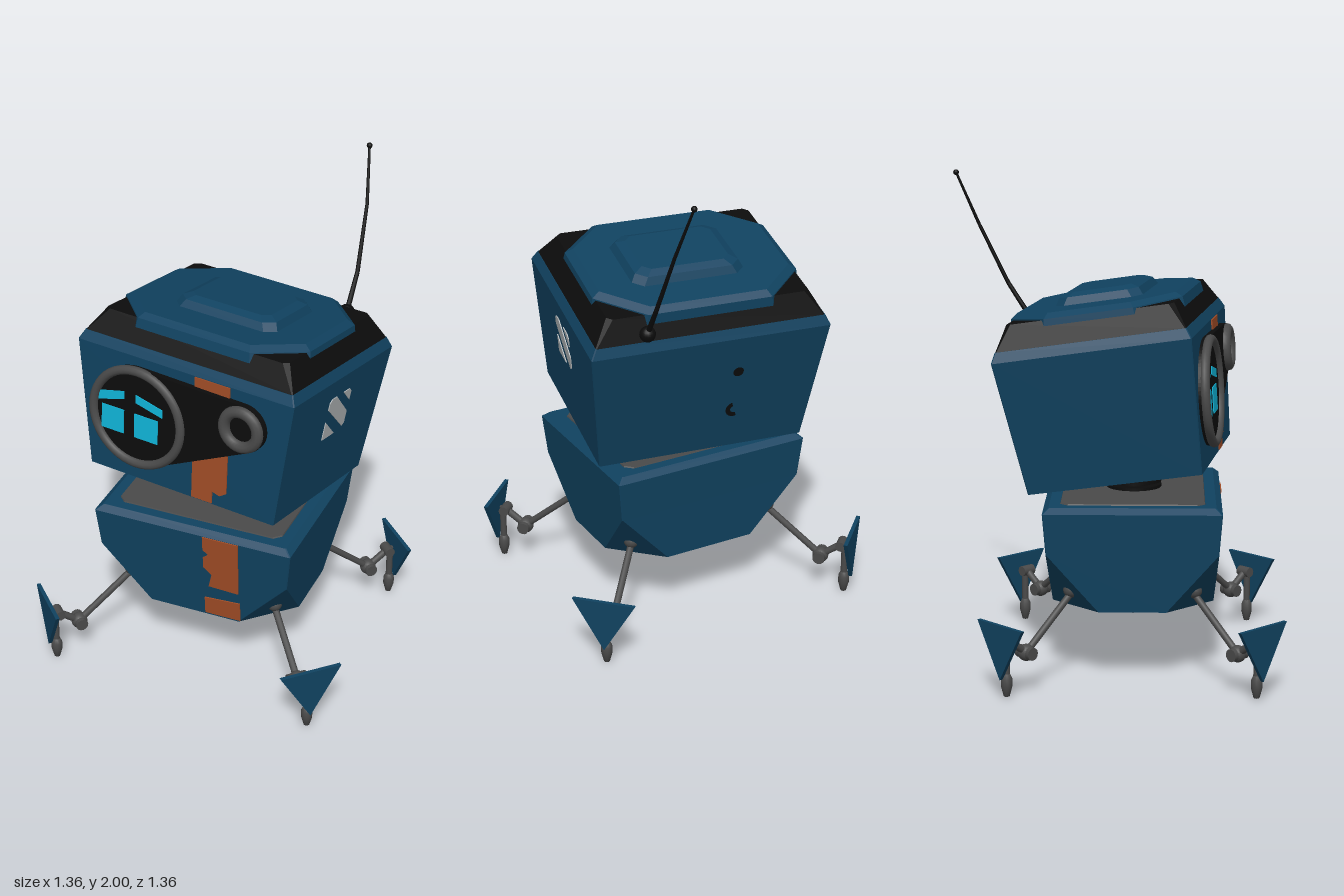
import * as THREE from 'three';

const mat = (name, color, side = THREE.FrontSide) => {
  const m = new THREE.MeshStandardMaterial({ color, side });
  m.name = name;
  return m;
};

export function createModel() {
  const blue = mat('blue paint', 0x104260);
  const black = mat('black', 0x0c0c0c);
  const grey = mat('grey metal', 0x4a4a4a);
  const orange = mat('orange paint', 0xa04c26);
  const cyan = mat('cyan light', 0x10b4d8);
  const white = mat('white paint', 0xb0b4b6);

  const root = new THREE.Group();
  root.name = 'robot';

  const group = (parent, name, x = 0, y = 0, z = 0) => {
    const g = new THREE.Group();
    g.name = name;
    g.position.set(x, y, z);
    parent.add(g);
    return g;
  };
  const add = (parent, name, geo, material, x = 0, y = 0, z = 0) => {
    const m = new THREE.Mesh(geo, material);
    m.name = name;
    m.position.set(x, y, z);
    parent.add(m);
    return m;
  };

  // Flat-faced solid through rectangles with cut corners: [y, halfWidth, halfDepth, cut]
  const loft = (sections) => {
    const rings = sections.map(([y, w, d, c]) =>
      [[w, c - d], [w, d - c], [w - c, d], [c - w, d], [-w, d - c], [-w, c - d], [c - w, -d], [w - c, -d]]
        .map(([x, z]) => new THREE.Vector3(x, y, z)));
    const tris = [];
    const last = rings.length - 1;
    for (let i = 0; i < 8; i++) {
      const j = (i + 1) % 8;
      for (let k = 0; k < last; k++) {
        const [a, b, c, d] = [rings[k][i], rings[k][j], rings[k + 1][j], rings[k + 1][i]];
        tris.push(a, d, c, a, c, b);
      }
      tris.push(new THREE.Vector3(0, sections[0][0], 0), rings[0][i], rings[0][j]);
      tris.push(new THREE.Vector3(0, sections[last][0], 0), rings[last][j], rings[last][i]);
    }
    const g = new THREE.BufferGeometry().setFromPoints(tris);
    g.computeVertexNormals();
    return g;
  };
  // Straight rod between two points
  const rod = (parent, name, a, b, r, material, r2 = r) => {
    const p = new THREE.Vector3(...a), q = new THREE.Vector3(...b);
    const dir = q.clone().sub(p);
    const m = add(parent, name, new THREE.CylinderGeometry(r2, r, dir.length(), 10), material);
    m.position.copy(p).add(q).multiplyScalar(0.5);
    m.quaternion.setFromUnitVectors(new THREE.Vector3(0, 1, 0), dir.normalize());
    return m;
  };
  const plate = (points, depth) => new THREE.ExtrudeGeometry(
    new THREE.Shape(points.map(([x, y]) => new THREE.Vector2(x, y))), { depth, bevelEnabled: false });

  // Body
  const body = group(root, 'body', 0, 0, 0.075);
  add(body, 'bodyShell', loft([
    [0.295, 0.385, 0.325, 0.19], [0.53, 0.41, 0.342, 0.004],
    [0.70, 0.428, 0.355, 0.004], [0.722, 0.40, 0.33, 0.004]]), blue);
  add(body, 'bodyTopPanel', loft([[0.715, 0.36, 0.29, 0.03], [0.727, 0.355, 0.285, 0.03]]), grey);
  const base = add(body, 'bodyBaseDisc', new THREE.CylinderGeometry(1, 0.96, 0.03, 40), grey, 0, 0.285, 0);
  base.scale.set(0.31, 1, 0.275);
  const bodyFront = group(body, 'bodyStripe', 0, 0.295, 0.325);
  bodyFront.rotation.x = 0.074;
  add(bodyFront, 'upperStripe', plate([
    [0.05, 0.405], [0.05, 0.34], [0.075, 0.32], [0.05, 0.30], [0.05, 0.25], [0.085, 0.22],
    [0.07, 0.155], [0.20, 0.15], [0.205, 0.405]], 0.005), orange);
  add(bodyFront, 'lowerStripe', plate([[0.05, 0.01], [0.205, 0.01], [0.205, 0.10], [0.05, 0.09]], 0.005), orange);

  // Neck rings
  const neck = group(root, 'neck', 0, 0, 0.075);
  add(neck, 'neckCore', new THREE.CylinderGeometry(0.075, 0.075, 0.12, 24), black, 0, 0.765, 0);
  for (let i = 0; i < 4; i++)
    add(neck, 'neckRing', new THREE.CylinderGeometry(0.112, 0.112, 0.012, 28), black, 0, 0.733 + i * 0.023, 0);

  // Head, turned and tilted back
  const head = group(root, 'head', 0, 0.82, 0.07);
  head.rotation.set(-0.153, -0.153, 0, 'YXZ');
  add(head, 'headShell', loft([
    [0, 0.43, 0.35, 0.004], [0.54, 0.495, 0.397, 0.004], [0.58, 0.475, 0.38, 0.004]]), blue);
  add(head, 'headBand', loft([[0.58, 0.473, 0.378, 0.004], [0.675, 0.415, 0.335, 0.02]]), black);
  add(head, 'headTopPlate', loft([
    [0.64, 0.43, 0.352, 0.17], [0.68, 0.425, 0.347, 0.17], [0.70, 0.395, 0.32, 0.155]]), blue);
  add(head, 'topHatch', loft([
    [0.695, 0.235, 0.18, 0.04], [0.73, 0.215, 0.162, 0.04], [0.745, 0.18, 0.13, 0.03]]), blue, 0.02, 0, 0);
  add(head, 'headUnderPanel', loft([[-0.005, 0.40, 0.32, 0.02], [0.002, 0.40, 0.32, 0.02]]), grey);
  add(head, 'neckSocket', new THREE.CylinderGeometry(0.18, 0.18, 0.012, 36), black, 0, -0.006, 0);

  // Face on the sloping front
  const face = group(head, 'face', 0, 0, 0.35);
  face.rotation.x = 0.087;
  add(face, 'headStripe', plate([
    [0.055, 0.005], [0.15, 0.005], [0.15, 0.06], [0.185, 0.05], [0.215, 0.07], [0.215, 0.54], [0.055, 0.54]], 0.005), orange);
  const [bx, by, br, sx, sy, sr] = [-0.195, 0.29, 0.215, 0.285, 0.395, 0.1];
  const phi = Math.atan2(sy - by, sx - bx);
  const alpha = Math.acos((br - sr) / Math.hypot(sx - bx, sy - by));
  const mask = new THREE.Shape();
  mask.absarc(bx, by, br, phi + alpha, phi - alpha + Math.PI * 2, false);
  mask.absarc(sx, sy, sr, phi - alpha, phi + alpha, false);
  add(face, 'mask', new THREE.ExtrudeGeometry(mask, { depth: 0.025, bevelEnabled: false, curveSegments: 24 }), black);
  add(face, 'bigLensRing', new THREE.TorusGeometry(0.205, 0.019, 10, 48), grey, bx, by, 0.026);
  add(face, 'smallLensRing', new THREE.TorusGeometry(0.075, 0.024, 10, 32), grey, sx, sy, 0.03);
  const lights = [
    [[-0.36, 0.2], [-0.255, 0.2], [-0.255, 0.305], [-0.36, 0.305]],
    [[-0.205, 0.2], [-0.095, 0.2], [-0.095, 0.305], [-0.205, 0.305]],
    [[-0.375, 0.32], [-0.255, 0.355], [-0.255, 0.39], [-0.375, 0.36]],
    [[-0.2, 0.355], [-0.075, 0.325], [-0.075, 0.36], [-0.2, 0.39]]];
  lights.forEach((p, i) => add(face, i < 2 ? 'eye' : 'brow', plate(p, 0.004), cyan, 0, 0, 0.025));

  // Striped patch on the left side
  const side = group(head, 'sidePatch', 0.43, 0, 0);
  side.rotation.set(0, Math.PI / 2, -0.12, 'ZYX');
  const patches = [
    [[-0.085, 0.075], [-0.07, 0.09], [-0.035, 0.09], [0.085, -0.015], [0.085, -0.07], [0.07, -0.08], [-0.085, 0.045]],
    [[-0.085, -0.01], [-0.085, -0.09], [0.01, -0.09]],
    [[0.02, 0.09], [0.085, 0.035], [0.085, 0.075], [0.07, 0.09]]];
  // The middle band needs corners in counter-clockwise order
  patches.forEach((p) => add(side, 'patchStripe', plate(p, 0.004), white, 0, 0.375, 0));

  // Small holes on the back
  const back = group(head, 'backMarks', 0, 0, -0.35);
  back.rotation.set(-0.087, Math.PI, 0);
  add(back, 'backHole', new THREE.CircleGeometry(0.022, 20), black, 0.12, 0.38, 0.004);
  add(back, 'backSlot', new THREE.RingGeometry(0.016, 0.036, 16, 1, Math.PI * 0.6, Math.PI), black, 0.12, 0.19, 0.004);

  // Antenna
  const antenna = group(root, 'antenna');
  const path = [[0.345, 1.38, -0.37], [0.353, 1.52, -0.46], [0.342, 1.77, -0.58], [0.312, 1.985, -0.67]];
  for (let i = 0; i < 3; i++)
    rod(antenna, 'antennaRod', path[i], path[i + 1], 0.011 - i * 0.002, black, 0.009 - i * 0.002);
  add(antenna, 'antennaBase', new THREE.SphereGeometry(0.032, 16, 12), black, ...path[0]);
  add(antenna, 'antennaTip', new THREE.SphereGeometry(0.012, 12, 8), black, ...path[3]);

  // Four legs; each is built along its own outward +z
  for (const x of [-1, 1]) for (const z of [-1, 1]) {
    const leg = group(root, z > 0 ? 'frontLeg' : 'backLeg', x * 0.31, 0, 0.075 + z * 0.235);
    leg.rotation.y = Math.atan2(x, z);
    const knee = [0, 0.16, 0.255], ankle = [0, 0.225, 0.345];
    add(leg, 'hip', new THREE.SphereGeometry(0.032, 14, 10), grey, 0, 0.37, 0.015);
    rod(leg, 'thigh', [0, 0.385, -0.02], knee, 0.014, grey);
    add(leg, 'knee', new THREE.SphereGeometry(0.034, 16, 12), grey, ...knee);
    const pin = add(leg, 'kneePin', new THREE.CylinderGeometry(0.026, 0.026, 0.08, 14), grey, ...knee);
    pin.rotation.z = Math.PI / 2;
    rod(leg, 'shin', knee, ankle, 0.015, grey);
    const anklePin = add(leg, 'anklePin', new THREE.CylinderGeometry(0.022, 0.022, 0.06, 14), grey, ...ankle);
    anklePin.rotation.z = Math.PI / 2;
    rod(leg, 'footRod', [0, 0.07, 0.358], [0, 0.235, 0.358], 0.014, grey);
    add(leg, 'foot', new THREE.LatheGeometry([[0, 0], [0.012, 0.004], [0.023, 0.045], [0.023, 0.075], [0.014, 0.095], [0, 0.095]]
      .map(([r, y]) => new THREE.Vector2(r, y)), 14), grey, 0, 0, 0.358);
    add(leg, 'shinGuard', plate([[-0.13, 0.295], [0, 0.075], [0.13, 0.295]], 0.016), blue, 0, 0, 0.378);
  }
  return root;
}
